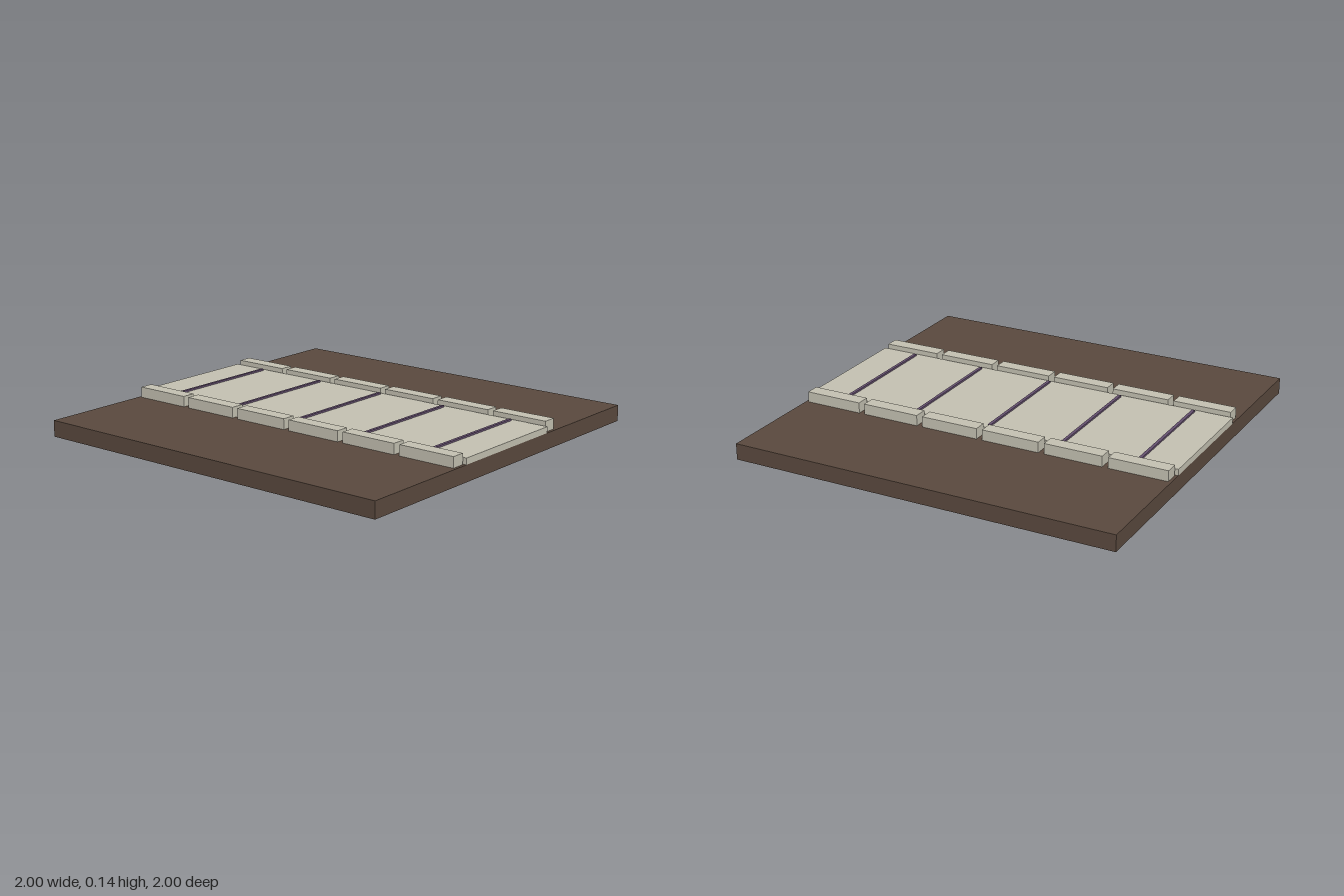
import * as THREE from 'three';

export function createModel() {
  const group = new THREE.Group();
  const material = (name, color) => {
    const m = new THREE.MeshStandardMaterial({ color });
    m.name = name;
    return m;
  };
  const earth = material('brown earth', 0x5a493e);
  const stone = material('pale stone', 0xc4c1b2);
  const seam = material('purple seam', 0x65506f);

  // Box given by its centre on the ground plan and its bottom and top heights
  const box = (name, mat, width, depth, bottom, top, x = 0, z = 0) => {
    const mesh = new THREE.Mesh(new THREE.BoxGeometry(width, top - bottom, depth), mat);
    mesh.position.set(x, (bottom + top) / 2, z);
    mesh.name = name;
    group.add(mesh);
  };

  // Ground tile and paved path
  box('ground', earth, 2, 2, 0, 0.083);
  box('path', stone, 0.67, 2, 0.083, 0.115);

  // Thin raised seams across the path
  for (let i = -2; i <= 2; i++) box('seam', seam, 0.63, 0.016, 0.115, 0.124, 0, i * 0.4);

  // Kerb stones along both sides
  for (const side of [-1, 1]) {
    for (let i = 0; i < 6; i++) {
      box('kerbStone', stone, 0.072, 0.303, 0.083, 0.1375, side * 0.378, (i - 2.5) / 3);
    }
  }
  return group;
}
